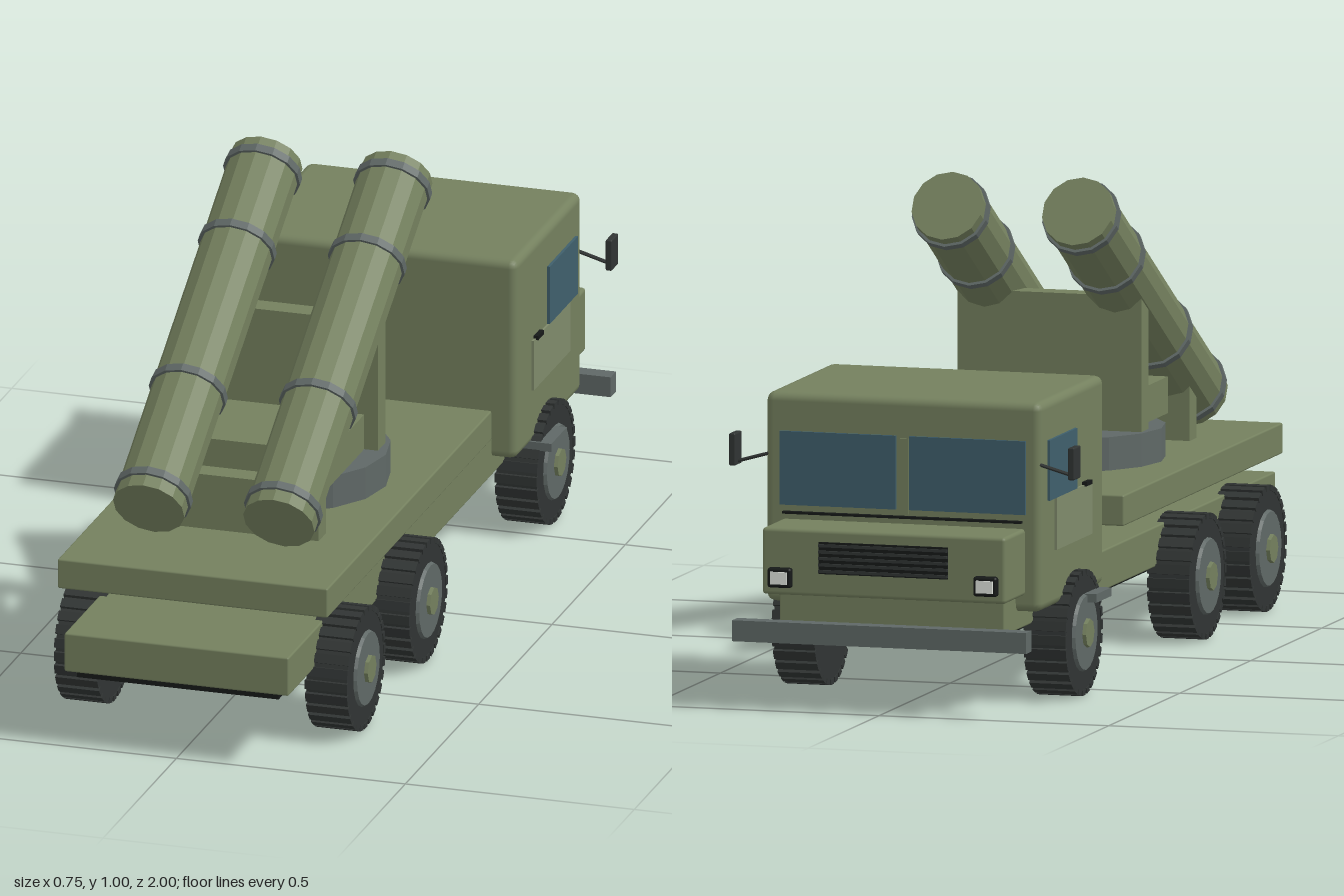
import * as THREE from 'three';
import { RoundedBoxGeometry } from 'three/addons/geometries/RoundedBoxGeometry.js';

const paint = (color, flatShading = false) => new THREE.MeshStandardMaterial({ color, flatShading });
const green = paint(0x74805e), greenFlat = paint(0x74805e, true), doorGreen = paint(0x7f8a6b);
const steel = paint(0x5f6866, true), rubber = paint(0x303433, true), black = paint(0x161918);
const glass = paint(0x3f5f6c), lamp = paint(0xdfe3dc);

export function createModel() {
  const model = new THREE.Group();

  const add = (name, geometry, material, parent = model) => {
    const mesh = new THREE.Mesh(geometry, material);
    mesh.name = name;
    parent.add(mesh);
    return mesh;
  };
  // Box given by its limits on each axis; a radius rounds the edges
  const box = (name, [x0, x1], [y0, y1], [z0, z1], material, radius = 0) => {
    const size = [x1 - x0, y1 - y0, z1 - z0];
    const geometry = radius ? new RoundedBoxGeometry(...size, 2, radius) : new THREE.BoxGeometry(...size);
    const mesh = add(name, geometry, material);
    mesh.position.set((x0 + x1) / 2, (y0 + y1) / 2, (z0 + z1) / 2);
    return mesh;
  };
  // Limits on one side of the vehicle, mirrored by sign
  const side = (s, a, b) => (s > 0 ? [a, b] : [-b, -a]);

  // Chassis and raised deck
  box('chassis', [-0.245, 0.245], [0.165, 0.25], [-0.91, 1], green, 0.004);
  box('underbody', [-0.22, 0.22], [0.152, 0.166], [-0.9, 0.99], black);
  box('deck', [-0.295, 0.295], [0.305, 0.37], [-0.23, 0.89], green, 0.004);

  // Launcher base
  const turntable = add('turntable', new THREE.CylinderGeometry(0.223, 0.223, 0.07, 16), steel);
  turntable.position.set(0, 0.405, 0.267);
  box('launcherBase', [-0.17, 0.17], [0.44, 0.517], [0.25, 0.485], green);
  box('frontSupport', [-0.2, 0.2], [0.44, 0.725], [0.2, 0.25], green);
  box('rearSupport', [-0.19, 0.19], [0.37, 0.49], [0.573, 0.623], green);

  // Launch tubes with clamping rings, lying along a tilted axis
  const rear = new THREE.Vector3(0, 0.448, 0.745);
  const muzzle = new THREE.Vector3(0, 0.937, -0.06);
  const axis = muzzle.clone().sub(rear);
  const length = axis.length();
  for (const x of [-0.142, 0.142]) {
    const tube = new THREE.Group();
    tube.name = 'launchTube';
    tube.position.copy(rear).setX(x);
    tube.quaternion.setFromUnitVectors(new THREE.Vector3(0, 1, 0), axis.clone().normalize());
    model.add(tube);
    add('tubeBody', new THREE.CylinderGeometry(0.077, 0.077, length, 14), greenFlat, tube).position.y = length / 2;
    for (const t of [0.04, 0.335, 0.75, 0.965])
      add('tubeRing', new THREE.CylinderGeometry(0.083, 0.083, 0.018, 14), steel, tube).position.y = t * length;
  }

  // Wheels with tread blocks, rim and hub cap
  for (const s of [-1, 1]) for (const z of [0.705, 0.28, -0.59]) {
    const wheel = new THREE.Group();
    wheel.name = 'wheel';
    wheel.position.set(s * 0.274, 0.132, z);
    wheel.rotation.z = -s * Math.PI / 2;
    model.add(wheel);
    add('tyre', new THREE.CylinderGeometry(0.126, 0.126, 0.088, 28), rubber, wheel);
    add('rim', new THREE.CylinderGeometry(0.078, 0.084, 0.012, 20), steel, wheel).position.y = 0.045;
    add('hubCap', new THREE.CylinderGeometry(0.03, 0.032, 0.022, 8), greenFlat, wheel).position.y = 0.048;
    for (let i = 0; i < 28; i++) {
      const a = i / 28 * Math.PI * 2;
      const block = add('treadBlock', new THREE.BoxGeometry(0.012, 0.092, 0.02), rubber, wheel);
      block.position.set(Math.cos(a) * 0.126, 0, -Math.sin(a) * 0.126);
      block.rotation.y = a;
    }
  }

  // Cab and bonnet
  box('cab', [-0.3, 0.3], [0.205, 0.645], [-0.83, -0.383], green, 0.018);
  box('bonnet', [-0.265, 0.265], [0.24, 0.38], [-0.968, -0.8], green, 0.008);
  box('windscreenDivider', [-0.012, 0.012], [0.4, 0.56], [-0.834, -0.82], green);
  box('wiperRail', [-0.26, 0.26], [0.392, 0.397], [-0.842, -0.82], black);

  // Grille with slats
  box('grille', [-0.14, 0.14], [0.288, 0.355], [-0.972, -0.96], black);
  for (let i = 0; i < 5; i++)
    box('grilleSlat', [-0.14, 0.14], [0.291 + i * 0.0135, 0.297 + i * 0.0135], [-0.977, -0.965], rubber);

  // Bumper
  box('bumper', [-0.32, 0.32], [0.143, 0.187], [-1, -0.963], steel);

  // Fittings repeated on both sides
  for (const s of [-1, 1]) {
    box('windscreen', side(s, 0.015, 0.267), [0.41, 0.565], [-0.836, -0.82], glass);
    box('sideWindow', side(s, 0.295, 0.306), [0.435, 0.562], [-0.785, -0.592], glass);
    box('door', side(s, 0.295, 0.305), [0.325, 0.435], [-0.735, -0.485], doorGreen);
    box('doorHandle', side(s, 0.295, 0.31), [0.432, 0.441], [-0.54, -0.5], black);
    box('step', side(s, 0.27, 0.345), [0.195, 0.213], [-0.585, -0.48], steel);
    box('headlightFrame', side(s, 0.198, 0.25), [0.256, 0.298], [-0.982, -0.96], black, 0.006);
    box('headlight', side(s, 0.206, 0.242), [0.264, 0.29], [-0.986, -0.97], lamp);
    box('bumperMount', side(s, 0.1, 0.14), [0.155, 0.178], [-0.97, -0.86], steel);
    box('mirror', side(s, 0.362, 0.376), [0.488, 0.556], [-0.842, -0.795], rubber, 0.003);
    const armPath = new THREE.LineCurve3(
      new THREE.Vector3(s * 0.295, 0.515, -0.82), new THREE.Vector3(s * 0.366, 0.495, -0.82));
    add('mirrorArm', new THREE.TubeGeometry(armPath, 1, 0.004, 6), rubber);
  }

  return model;
}
